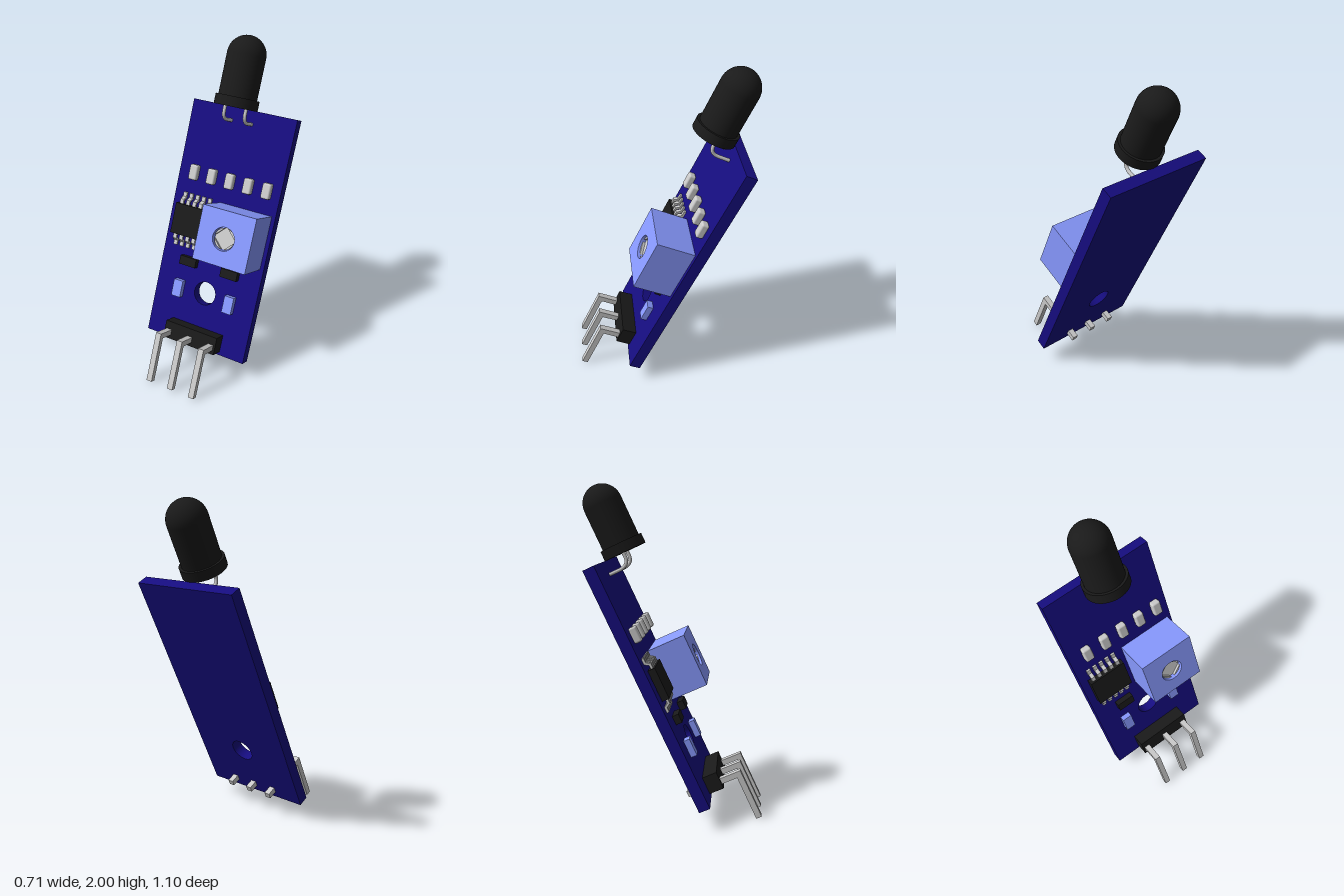
import * as THREE from 'three';
import { RoundedBoxGeometry } from 'three/addons/geometries/RoundedBoxGeometry.js';

const mat = (color) => new THREE.MeshStandardMaterial({ color });

// Board frame: x across, y up the board, z out of its front face
export function createModel() {
  const blue = mat(0x160d80), lightBlue = mat(0x8899ff), black = mat(0x1a1a1a), metal = mat(0xcccccc);
  const root = new THREE.Group();
  root.name = 'sensorModule';
  const tilted = new THREE.Group();
  tilted.name = 'tiltedBoard';
  tilted.rotation.x = -THREE.MathUtils.degToRad(25);
  tilted.position.set(0, 0.137, 0.243);
  root.add(tilted);

  const add = (name, geometry, material) => {
    const mesh = new THREE.Mesh(geometry, material);
    mesh.name = name;
    tilted.add(mesh);
    return mesh;
  };
  const box = (name, x0, x1, y0, y1, z0, z1, material) =>
    add(name, new THREE.BoxGeometry(x1 - x0, y1 - y0, z1 - z0), material)
      .position.set((x0 + x1) / 2, (y0 + y1) / 2, (z0 + z1) / 2);
  // Rectangular plate with a round hole
  const holedPlate = (name, x0, x1, y0, y1, z0, z1, hx, hy, hr, material) => {
    const shape = new THREE.Shape([[x0, y0], [x1, y0], [x1, y1], [x0, y1]].map((p) => new THREE.Vector2(...p)));
    shape.holes.push(new THREE.Path().absarc(hx, hy, hr, 0, Math.PI * 2, true));
    const g = new THREE.ExtrudeGeometry(shape, { depth: z1 - z0, bevelEnabled: false, curveSegments: 32 });
    add(name, g.translate(0, 0, z0), material);
  };
  // Side profile given as [y, z] points, swept across x
  const toSide = new THREE.Matrix4().makeBasis(
    new THREE.Vector3(0, 1, 0), new THREE.Vector3(0, 0, 1), new THREE.Vector3(1, 0, 0));
  const sideProfile = (name, points, x, width, material) => {
    const shape = new THREE.Shape(points.map((p) => new THREE.Vector2(...p)));
    const g = new THREE.ExtrudeGeometry(shape, { depth: width, bevelEnabled: false });
    add(name, g.translate(0, 0, -width / 2).applyMatrix4(toSide), material).position.x = x;
  };

  // Circuit board with mounting hole
  holedPlate('circuitBoard', -0.355, 0.355, 0, 1.557, -0.07, 0, 0, 0.357, 0.075, blue);

  // Domed receiver with its flange
  const profile = [[0, 1.555], [0.134, 1.555], [0.134, 1.616], [0.118, 1.616], [0.118, 1.866]];
  const dome = [];
  for (let i = 1; i <= 12; i++) {
    const a = (i / 12) * Math.PI / 2;
    dome.push(new THREE.Vector2(i === 12 ? 0 : 0.118 * Math.cos(a), 1.866 + 0.118 * Math.sin(a)));
  }
  const barrel = [new THREE.Vector2(0.118, 1.616), new THREE.Vector2(0.118, 1.866), ...dome];
  add('receiverDome', new THREE.LatheGeometry(barrel, 40), black).position.z = 0.13;
  const flange = new THREE.CylinderGeometry(profile[1][0], profile[1][0], 0.061, 40);
  add('receiverFlange', flange, black).position.set(0, 1.5855, 0.13);

  // Bent receiver legs
  for (const x of [-0.07, 0.07]) {
    const path = new THREE.CurvePath();
    const v = (y, z) => new THREE.Vector3(x, y, z);
    path.add(new THREE.LineCurve3(v(1.57, 0.13), v(1.53, 0.13)));
    path.add(new THREE.QuadraticBezierCurve3(v(1.53, 0.13), v(1.473, 0.13), v(1.473, 0.065)));
    path.add(new THREE.LineCurve3(v(1.473, 0.065), v(1.473, -0.03)));
    add('receiverLeg', new THREE.TubeGeometry(path, 24, 0.011, 10), metal);
  }

  // Trimmer block with a recessed cross-slot screw
  box('trimmerBase', -0.025, 0.33, 0.617, 0.956, 0, 0.205, lightBlue);
  holedPlate('trimmerTop', -0.025, 0.33, 0.617, 0.956, 0.205, 0.242, 0.15, 0.785, 0.072, lightBlue);
  const disc = (name, r, z0, z1) => add(name,
    new THREE.CylinderGeometry(r, r, z1 - z0, 32).rotateX(Math.PI / 2), metal)
    .position.set(0.15, 0.785, (z0 + z1) / 2);
  disc('screwBase', 0.066, 0.2, 0.212);
  for (let i = 0; i < 4; i++) {
    const s = 0.01, r = 0.066, a = Math.asin(s / r);
    const quarter = new THREE.Shape();
    quarter.moveTo(s, s);
    quarter.absarc(0, 0, r, a, Math.PI / 2 - a, false);
    quarter.closePath();
    const g = new THREE.ExtrudeGeometry(quarter, { depth: 0.018, bevelEnabled: false, curveSegments: 10 });
    add('screwQuarter', g.rotateZ(i * Math.PI / 2), metal).position.set(0.15, 0.785, 0.21);
  }

  // Chip with five bent pins on each long side
  box('chipBody', -0.307, -0.063, 0.69, 0.888, 0.008, 0.053, black);
  for (let i = 0; i < 5; i++) {
    const x = -0.275 + i * 0.045;
    for (const s of [1, -1]) {
      const pts = [[0.09, 0.026], [0.122, 0.026], [0.138, 0], [0.175, 0],
        [0.175, 0.014], [0.146, 0.014], [0.13, 0.04], [0.09, 0.04]].map(([y, z]) => [0.788 + s * y, z]);
      sideProfile('chipPin', pts, x, 0.025, metal);
    }
  }

  // Row of small resistors
  for (let i = 0; i < 5; i++) {
    add('resistor', new RoundedBoxGeometry(0.058, 0.098, 0.046, 3, 0.012), metal)
      .position.set(-0.238 + i * 0.127, 1.102, 0.022);
  }

  // Mirrored small parts beside the mounting hole
  for (const s of [-1, 1]) {
    box('smallBlackPart', s * 0.148 - 0.058, s * 0.148 + 0.058, 0.505, 0.562, 0, 0.04, black);
    box('indicatorLight', s * 0.185 - 0.032, s * 0.185 + 0.032, 0.288, 0.398, 0, 0.038, lightBlue);
  }

  // Connector block and right-angle pins
  box('connectorBlock', -0.185, 0.185, 0.022, 0.133, 0, 0.092, black);
  for (const x of [-0.153, 0, 0.153]) {
    sideProfile('connectorPin', [[0.047, -0.13], [0.083, -0.13], [0.083, 0.228],
      [-0.24, 0.228], [-0.24, 0.192], [0.047, 0.192]], x, 0.037, metal);
  }
  return root;
}
